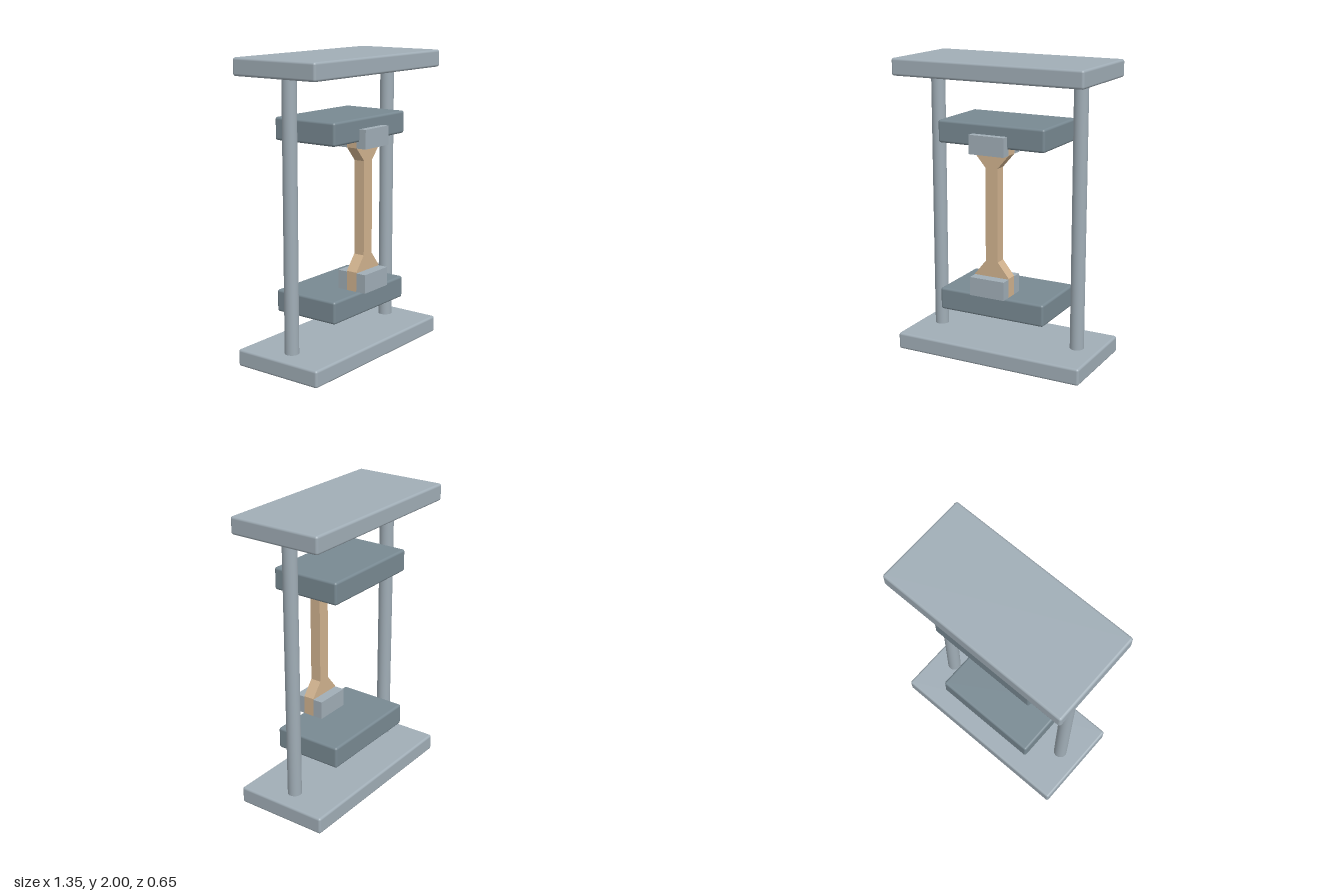
import * as THREE from 'three';
import { RoundedBoxGeometry } from 'three/addons/geometries/RoundedBoxGeometry.js';

const material = (name, color) => {
  const m = new THREE.MeshStandardMaterial({ color });
  m.name = name;
  return m;
};

export function createModel() {
  const model = new THREE.Group();
  model.name = 'tensileTester';
  const steel = material('light steel', 0xa0adb6);
  const darkSteel = material('dark steel', 0x788992);
  const tan = material('tan specimen', 0xd0b28e);

  const add = (name, geometry, mat, x, y, z) => {
    const mesh = new THREE.Mesh(geometry, mat);
    mesh.name = name;
    mesh.position.set(x, y, z);
    model.add(mesh);
  };

  // Base and top plates
  const plate = new RoundedBoxGeometry(1.35, 0.115, 0.65, 3, 0.016);
  add('basePlate', plate, steel, 0, 0.0575, 0);
  add('topPlate', plate, steel, 0, 1.9425, 0);

  // Columns between the plates
  const column = new THREE.CylinderGeometry(0.047, 0.047, 1.8, 32);
  add('leftColumn', column, steel, 0.52, 1, 0);
  add('rightColumn', column, steel, -0.52, 1, 0);

  // Crossheads
  const crosshead = new RoundedBoxGeometry(0.765, 0.15, 0.48, 3, 0.016);
  add('lowerCrosshead', crosshead, darkSteel, 0, 0.39, 0);
  add('upperCrosshead', crosshead, darkSteel, 0, 1.535, 0);

  // Pairs of grip jaws clamping the specimen ends
  const jaw = new THREE.BoxGeometry(0.25, 0.125, 0.07);
  for (const [label, y] of [['lower', 0.533], ['upper', 1.48]]) {
    add(label + 'FrontJaw', jaw, steel, 0, y, 0.255);
    add(label + 'BackJaw', jaw, steel, 0, y, 0.108);
  }

  // Dog-bone specimen: half outline mirrored about x = 0
  const half = [[0.125, 0.47], [0.125, 0.6], [0.044, 0.7], [0.044, 1.325], [0.125, 1.418], [0.125, 1.535]];
  const outline = [...half, ...half.map(([x, y]) => [-x, y]).reverse()];
  const shape = new THREE.Shape(outline.map(([x, y]) => new THREE.Vector2(x, y)));
  const specimen = new THREE.ExtrudeGeometry(shape, { depth: 0.077, bevelEnabled: false });
  add('specimen', specimen, tan, 0, 0, 0.143);

  return model;
}
